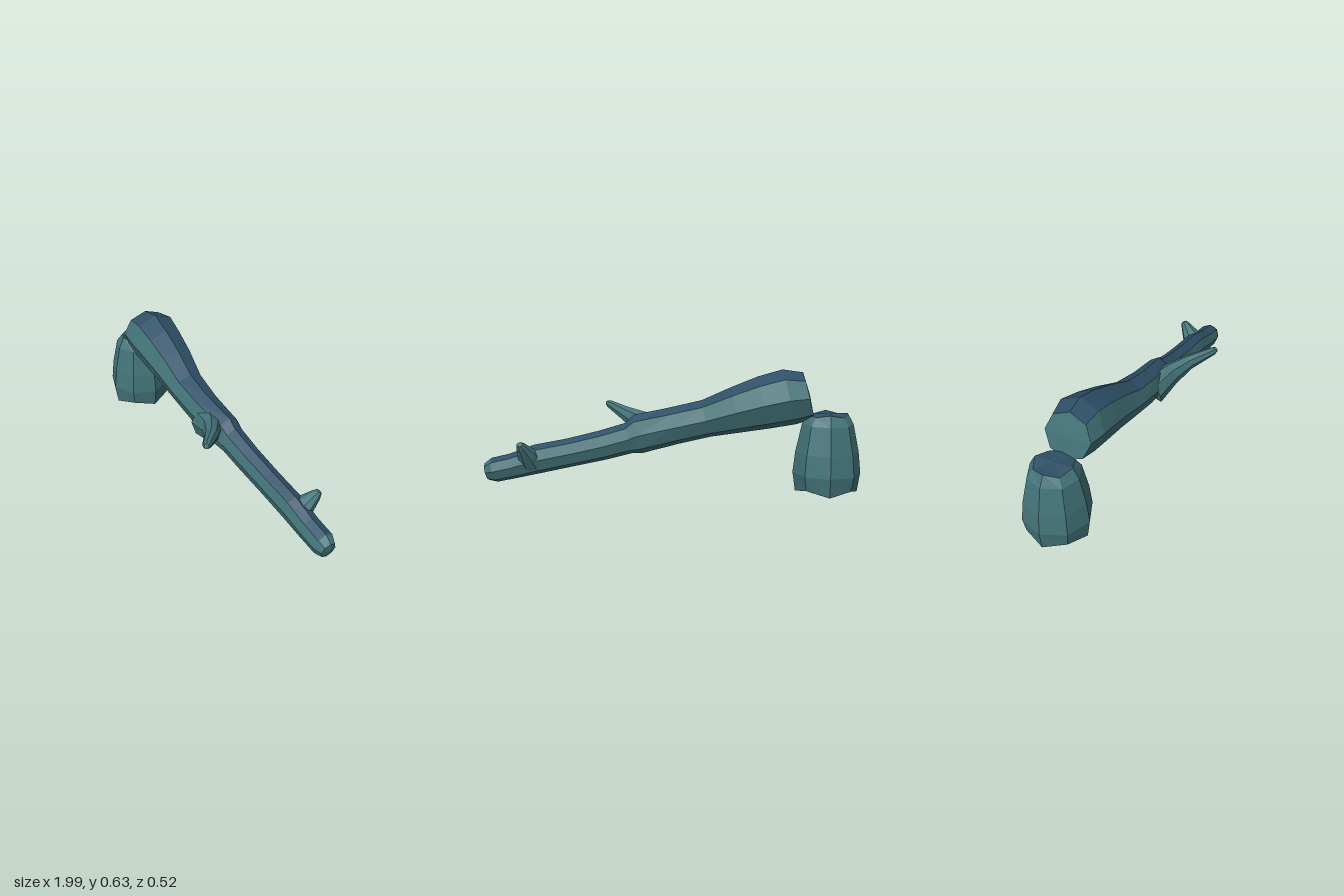
import * as THREE from 'three';

const SIDES = 8;
const bark = new THREE.MeshStandardMaterial({ color: 0x437479, flatShading: true });
const moss = new THREE.MeshStandardMaterial({ color: 0x2f5068, flatShading: true });

function facetMesh(points, material, name) {
  const geometry = new THREE.BufferGeometry().setFromPoints(points);
  geometry.computeVertexNormals();
  const mesh = new THREE.Mesh(geometry, material);
  mesh.name = name;
  return mesh;
}

// Closed loft through eight-sided rings [x, y, z, radiusUp, radiusSide, wobble].
// isMoss(ring, side) picks the material; ring -1 and 'end' are the caps.
function loft(name, rings, up, isMoss, bulge = 0) {
  const centers = rings.map(r => new THREE.Vector3(r[0], r[1], r[2]));
  const axis = centers.at(-1).clone().sub(centers[0]).normalize();
  const side = axis.clone().cross(up).normalize();
  const over = side.clone().cross(axis);
  const loops = rings.map((r, i) => Array.from({ length: SIDES }, (_, j) => {
    const a = j / SIDES * Math.PI * 2;
    return centers[i].clone()
      .addScaledVector(over, Math.sin(a) * r[3])
      .addScaledVector(side, Math.cos(a) * r[4])
      .addScaledVector(axis, j % 2 ? r[5] || 0 : 0);
  }));
  const barkPoints = [], mossPoints = [];
  const add = (i, j, ...p) => (isMoss(i, j) ? mossPoints : barkPoints).push(...p);
  const first = centers[0].clone().addScaledVector(axis, -bulge);
  const last = centers.at(-1).clone().addScaledVector(axis, bulge);
  for (let j = 0; j < SIDES; j++) {
    const k = (j + 1) % SIDES;
    add(-1, j, first, loops[0][j], loops[0][k]);
    add('end', j, last, loops.at(-1)[k], loops.at(-1)[j]);
    for (let i = 0; i < loops.length - 1; i++) {
      const [a, b, c, d] = [loops[i][j], loops[i + 1][j], loops[i + 1][k], loops[i][k]];
      add(i, j, a, b, c, a, c, d);
    }
  }
  const group = new THREE.Group();
  group.name = name;
  group.add(facetMesh(barkPoints, bark, name + 'Bark'));
  if (mossPoints.length) group.add(facetMesh(mossPoints, moss, name + 'Top'));
  return group;
}

export function createModel() {
  const model = new THREE.Group();
  model.name = 'fallenLog';
  const Y = new THREE.Vector3(0, 1, 0), Z = new THREE.Vector3(0, 0, 1);

  // Stump: tapered octagon with a jagged base and rim
  const sx = -0.825, sz = -0.088;
  model.add(loft('stump', [
    [sx, 0, sz, 0.16, 0.16, 0.025],
    [sx, 0.1, sz, 0.175, 0.175],
    [sx, 0.21, sz, 0.163, 0.163],
    [sx, 0.355, sz, 0.132, 0.132],
    [sx, 0.412, sz, 0.1, 0.1, -0.015],
  ], Z, i => i === 'end'));

  // Log: thick broken end on the stump, thin end on the ground
  model.add(loft('log', [
    [-0.725, 0.497, -0.065, 0.125, 0.125],
    [-0.625, 0.49, -0.067, 0.147, 0.144],
    [-0.5, 0.459, -0.055, 0.14, 0.132],
    [-0.36, 0.418, -0.042, 0.123, 0.117],
    [-0.2, 0.367, -0.02, 0.1, 0.097],
    [-0.03, 0.325, -0.01, 0.1, 0.086],
    [0.16, 0.28, -0.015, 0.105, 0.072],
    [0.21, 0.258, -0.018, 0.083, 0.068],
    [0.35, 0.218, -0.018, 0.08, 0.063],
    [0.52, 0.178, -0.019, 0.077, 0.061],
    [0.7, 0.14, -0.018, 0.079, 0.061],
    [0.83, 0.101, -0.016, 0.069, 0.06],
    [0.935, 0.077, -0.015, 0.067, 0.06],
    [0.978, 0.066, -0.012, 0.047, 0.042],
  ], Y, (i, j) => i >= 0 && i < 12 && (j === 1 || j === 2), 0.008));

  // Long side branch reaching forward
  model.add(loft('longBranch', [
    [0.03, 0.285, 0.02, 0.085, 0.08],
    [0.15, 0.325, 0.075, 0.066, 0.05],
    [0.235, 0.362, 0.135, 0.042, 0.037],
    [0.335, 0.401, 0.232, 0.022, 0.024],
    [0.353, 0.407, 0.248, 0.013, 0.013],
  ], Y, () => false, 0.004));

  // Short stub near the thin end, pointing up and back
  model.add(loft('shortBranch', [
    [0.735, 0.12, -0.02, 0.06, 0.075],
    [0.75, 0.175, -0.063, 0.046, 0.054],
    [0.768, 0.221, -0.103, 0.027, 0.03],
    [0.774, 0.238, -0.119, 0.015, 0.017],
  ], Y, () => false, 0.004));

  return model;
}
